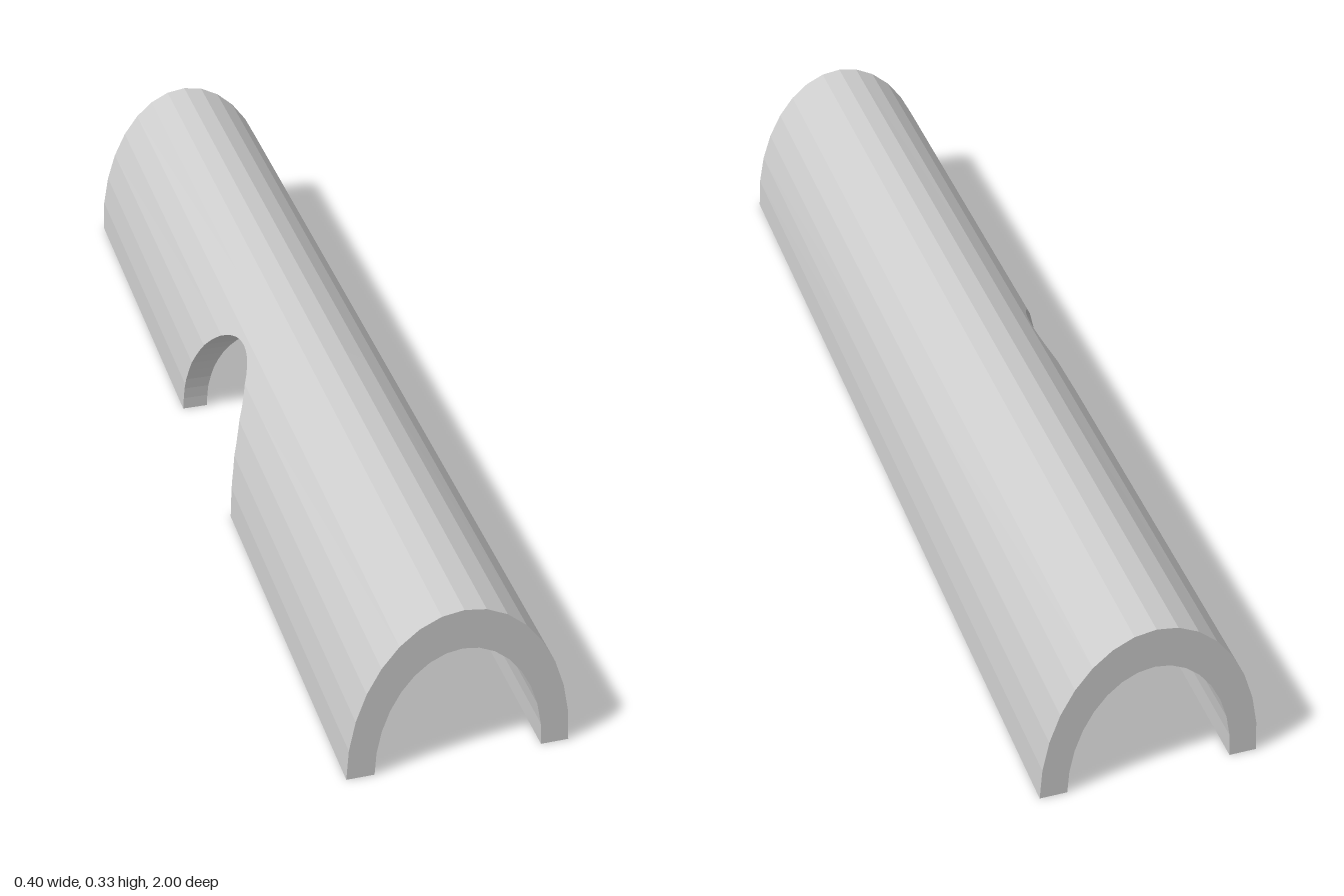
import * as THREE from 'three';

const FACETS = 16;
const CUT_HALF_WIDTH = 0.2;
const CUT_HEIGHT = 0.26;

// Half-elliptical faceted arc at depth z, clipped above height cut on the -x side
function arc(radius, z, cut) {
  const height = radius * THREE.MathUtils.lerp(1.6, 1.655, (1 - z) / 2);
  const pts = [];
  for (let k = 0; k <= FACETS; k++) {
    const a = (Math.PI * k) / FACETS;
    pts.push(new THREE.Vector3(-radius * Math.cos(a), k === FACETS ? 0 : height * Math.sin(a), z));
  }
  const apex = FACETS / 2;
  let first = 0;
  while (first < apex && pts[first].y < cut) first++;
  if (first === 0) return pts;
  const below = pts[first - 1], above = pts[first];
  const t = Math.min(1, (cut - below.y) / (above.y - below.y));
  const edge = below.clone().lerp(above, t);
  return pts.map((p, k) => (k < first ? edge : p));
}

// Closed wall section: outer arc followed by the inner arc back again
function section(z) {
  const s = 1 - (z / CUT_HALF_WIDTH) ** 2;
  const cut = s > 1e-6 ? CUT_HEIGHT * Math.sqrt(s) : 0;
  return [...arc(0.2, z, cut), ...arc(0.15, z, cut).reverse()];
}

function tunnelGeometry() {
  // Long plain stretches at both ends, fine steps across the side opening
  const depths = [-1];
  const steps = 32;
  for (let i = 0; i <= steps; i++) depths.push(-CUT_HALF_WIDTH * Math.cos((Math.PI * i) / steps));
  depths.push(1);
  const sections = depths.map(section);
  const verts = [];
  const tri = (a, b, c) => {
    const area = b.clone().sub(a).cross(c.clone().sub(a)).length();
    if (area > 1e-9) for (const p of [a, b, c]) verts.push(p.x, p.y, p.z);
  };
  const quad = (a, b, c, d) => { tri(a, b, c); tri(a, c, d); };

  // Outer shell, inner shell, feet and opening reveal
  const n = sections[0].length;
  for (let i = 0; i < sections.length - 1; i++) {
    const s = sections[i], e = sections[i + 1];
    for (let k = 0; k < n; k++) {
      const m = (k + 1) % n;
      quad(s[k], e[k], e[m], s[m]);
    }
  }
  // End faces
  const back = sections[0], front = sections[sections.length - 1];
  for (let k = 0; k < FACETS; k++) {
    const j = n - 1 - k;
    quad(front[k], front[j], front[j - 1], front[k + 1]);
    quad(back[k + 1], back[j - 1], back[j], back[k]);
  }

  const geometry = new THREE.BufferGeometry();
  geometry.setAttribute('position', new THREE.Float32BufferAttribute(verts, 3));
  geometry.computeVertexNormals();
  return geometry;
}

export function createModel() {
  const group = new THREE.Group();
  group.name = 'archedTunnel';
  const material = new THREE.MeshStandardMaterial({ color: 0xcccccc, flatShading: true });
  const tunnel = new THREE.Mesh(tunnelGeometry(), material);
  tunnel.name = 'tunnelWithSideOpening';
  group.add(tunnel);
  return group;
}
